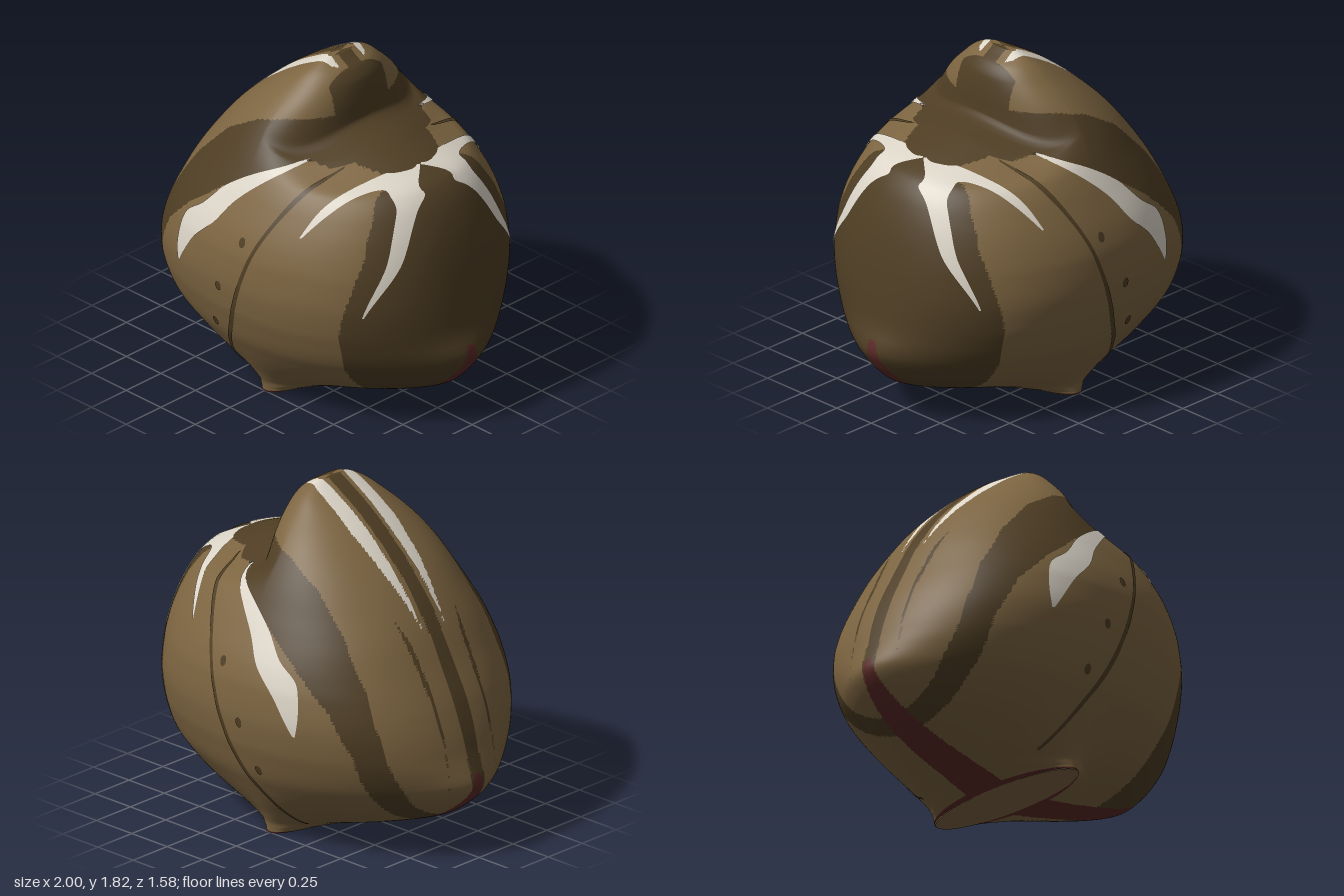
import * as THREE from 'three';

const mat = (name, color) => {
  const m = new THREE.MeshStandardMaterial({ color, side: THREE.DoubleSide });
  m.name = name;
  return m;
};

// Smooth monotone interpolation through [y, value] pairs
function table(pts) {
  const n = pts.length, d = [], m = [];
  for (let i = 0; i < n - 1; i++) d.push((pts[i + 1][1] - pts[i][1]) / (pts[i + 1][0] - pts[i][0]));
  for (let i = 0; i < n; i++) {
    const a = d[Math.max(i - 1, 0)], b = d[Math.min(i, n - 2)];
    m.push(a * b <= 0 ? 0 : 2 * a * b / (a + b));
  }
  return y => {
    let i = 0;
    while (i < n - 2 && y > pts[i + 1][0]) i++;
    const h = pts[i + 1][0] - pts[i][0], t = Math.min(1, Math.max(0, (y - pts[i][0]) / h));
    const t2 = t * t, t3 = t2 * t;
    return pts[i][1] * (2 * t3 - 3 * t2 + 1) + h * m[i] * (t3 - 2 * t2 + t)
      + pts[i + 1][1] * (3 * t2 - 2 * t3) + h * m[i + 1] * (t3 - t2);
  };
}

// Horizontal sections: left and right limits, centre, half depth and roundness by height
const TOP = 1.82;
const xMin = table([[0, -.13], [.02, -.22], [.06, -.4], [.11, -.6], [.19, -.79], [.26, -.885], [.33, -.935], [.42, -.957],
  [.5, -.96], [.6, -.945], [.8, -.88], [1, -.78], [1.2, -.67], [1.4, -.52], [1.6, -.31], [1.7, -.18], [1.78, -.05], [TOP, .02]]);
const xMax = table([[0, .15], [.02, .25], [.05, .41], [.1, .61], [.16, .79], [.23, .885], [.3, .93], [.4, .955], [.48, .96],
  [.6, .955], [.8, .935], [1, .9], [1.2, .835], [1.315, .755], [1.385, .6], [1.42, .5], [1.455, .38], [1.47, .28],
  [1.5, .23], [1.6, .222], [1.7, .205], [1.76, .17], [1.8, .11], [TOP, .08]]);
const xMid = table([[0, 0], [1.2, 0], [1.5, -.02], [1.7, .01], [TOP, .05]]);
const depth = table([[0, .5], [.05, .508], [.1, .53], [.2, .59], [.3, .65], [.4, .705], [.5, .74], [.6, .768], [.76, .785],
  [.9, .775], [1, .75], [1.2, .66], [1.3, .605], [1.4, .545], [1.5, .475], [1.6, .39], [1.7, .285], [1.76, .215], [1.8, .145], [TOP, .09]]);
const power = table([[0, 2], [.02, 1.6], [.06, 1.35], [.12, 1.42], [.25, 1.7], [.5, 2.07], [.8, 2.25], [1.1, 2.23], [1.3, 2.13], [1.5, 2.12], [TOP, 2]]);
// small lip at both pointed ends
const lip = y => .043 * Math.exp(-(((y - .4) / .1) ** 2));
// the crease under the upper lobe sinks towards the sides
const droop = (y, z, c) => c <= 0 ? 0 : .6 * z * z * c * Math.exp(-(((y - 1.47) / .12) ** 2));

// Front surface point over (x, y)
function front(x, y) {
  let z = 0, level = y;
  for (let i = 0; i < 4; i++) {
    const c = xMid(level), a = x < c ? c - xMin(level) : xMax(level) - c, p = power(level);
    const k = Math.min(1, Math.pow(Math.abs(x - c) / a, p));
    z = depth(level) * Math.pow(1 - k, 1 / p);
    level = y + droop(level, z, Math.sign(x - c) * Math.sqrt(k));
  }
  return new THREE.Vector3(x, y, z);
}

function inside(poly, x, y) {
  let hit = false;
  for (let i = 0, j = poly.length - 1; i < poly.length; j = i++) {
    const [ax, ay] = poly[i], [bx, by] = poly[j];
    if ((ay > y) !== (by > y) && x < (bx - ax) * (y - ay) / (by - ay) + ax) hit = !hit;
  }
  return hit;
}

// Dark regions over (x, y)
const darkAreas = [
  // sweeping side band and neck
  [[.3, 1.57], [.2, 1.57], [.05, 1.57], [-.1, 1.53], [-.3, 1.41], [-.5, 1.2], [-.66, .96], [-.77, .7], [-.82, .42], [-.8, .1],
    [-.69, .05], [-.69, .35], [-.66, .63], [-.55, .85], [-.37, 1.03], [-.15, 1.2], [.05, 1.32], [.22, 1.4], [.35, 1.38],
    [.41, 1.4], [.58, 1.37], [.75, 1.36], [.6, 1.5]],
  // right end
  [[.53, 0], [.57, .2], [.615, .45], [.645, .65], [.69, .85], [.71, 1.03], [.68, 1.22], [.63, 1.33], [.6, 1.37], [.75, 1.4], [1.1, 1.3], [1.1, 0]],
];
// Regions seen from above, over (x, |z|)
const crownStripe = [[-.68, .08], [-.3, .07], [0, .075], [.13, .09], [.1, .12], [0, .15], [-.25, .165], [-.45, .14]];
const backLine = [[-.96, .17], [-.8, .19], [-.6, .215], [-.7, .175], [-.85, .16]];

function colourAt(x, y, z) {
  const w = Math.abs(z);
  if (y < .008 || (y < .47 && w < .02 + .11 * (1 - y / .47) && Math.abs(x) > .1)) return 3;
  if (y > 1.05 && inside(crownStripe, x, w)) return 2;
  if (y > 1.5 && x > .15 && w < .19) return 1; // face of the upper lobe
  if (w < .045 || (x < -.5 && y > .4 && inside(backLine, x, w))) return 1;
  return darkAreas.some(a => inside(a, x, y)) ? 1 : 0;
}

// Main skin, lofted from the sections and sorted into colour groups
function bodyGeometry() {
  const R = 210, S = 288, pos = [], lists = [[], [], [], []];
  for (let i = 0; i <= R; i++) {
    const y = TOP * (1 - Math.cos(Math.PI * i / R)) / 2;
    const c = xMid(y), e = 2 / power(y);
    for (let j = 0; j < S; j++) {
      const t = 2 * Math.PI * j / S, cs = Math.cos(t), sn = Math.sin(t);
      const a = (cs < 0 ? c - xMin(y) : xMax(y) - c) + lip(y) * cs ** 16;
      const z = depth(y) * Math.sign(sn) * Math.abs(sn) ** e;
      pos.push(c + a * Math.sign(cs) * Math.abs(cs) ** e, y - droop(y, z, cs), z);
    }
  }
  const add = (a, b, c) => {
    const mid = k => (pos[a * 3 + k] + pos[b * 3 + k] + pos[c * 3 + k]) / 3;
    lists[colourAt(mid(0), mid(1), mid(2))].push(a, b, c);
  };
  for (let i = 0; i < R; i++) for (let j = 0; j < S; j++) {
    const a = i * S + j, b = i * S + (j + 1) % S;
    add(a, a + S, b);
    add(b, a + S, b + S);
  }
  // crown cap
  const top = pos.length / 3;
  pos.push(xMid(TOP), TOP, 0);
  for (let j = 0; j < S; j++) add(R * S + j, top, R * S + (j + 1) % S);

  const g = new THREE.BufferGeometry();
  g.setAttribute('position', new THREE.Float32BufferAttribute(pos, 3));
  g.setIndex(lists.flat());
  let start = 0;
  lists.forEach((l, k) => { g.addGroup(start, l.length, k); start += l.length; });
  g.computeVertexNormals();
  return g;
}

// Thin marking draped on the skin between two edge curves in (x, y)
function drape(edgeA, edgeB, side, along = 56, across = 6) {
  const curve = e => new THREE.SplineCurve(e.map(p => new THREE.Vector2(...p)));
  const A = curve(edgeA), B = curve(edgeB), g = new THREE.PlaneGeometry(1, 1, along, across);
  const uv = g.attributes.uv, h = .004;
  for (let i = 0; i < uv.count; i++) {
    const q = A.getPoint(uv.getX(i)).lerp(B.getPoint(uv.getX(i)), uv.getY(i));
    const p = front(q.x, q.y);
    const du = front(q.x + h, q.y).sub(front(q.x - h, q.y)), dv = front(q.x, q.y + h).sub(front(q.x, q.y - h));
    p.addScaledVector(du.cross(dv).normalize(), .005);
    g.attributes.position.setXYZ(i, p.x, p.y, p.z * side);
  }
  if (side < 0) g.index.array.reverse();
  g.computeVertexNormals();
  return g;
}

export function createModel() {
  const tan = mat('tan', 0x7d6541), dark = mat('dark brown', 0x4f3e24);
  const cream = mat('cream', 0xdcd5c8), red = mat('dark red', 0x5c2a27);
  const model = new THREE.Group();
  const add = (name, geo, m) => {
    const mesh = new THREE.Mesh(geo, m);
    mesh.name = name;
    model.add(mesh);
    return mesh;
  };
  add('body', bodyGeometry(), [tan, dark, cream, red]);

  // flat oval foot
  const oval = new THREE.Shape().absellipse(.01, 0, .14, .5, 0, Math.PI * 2);
  add('sole', new THREE.ShapeGeometry(oval, 48), tan).rotation.x = Math.PI / 2;

  // rib centre line, widened into a tapering strip
  const rib = [[-.185, .08], [-.1, .28], [0, .49], [.08, .71], [.17, .97], [.25, 1.15], [.33, 1.3], [.39, 1.385]];
  const ribWidth = [.008, .011, .014, .012, .01, .011, .014, .004];
  const shift = s => rib.map(([x, y], i) => [x + s * ribWidth[i], y - s * .003]);

  for (const side of [1, -1]) {
    const n = side > 0 ? 'front' : 'back';
    add(n + 'SideStripe', drape(
      [[-.395, .71], [-.405, .83], [-.37, .98], [-.25, 1.08], [-.13, 1.21], [.04, 1.325], [.23, 1.41]],
      [[-.38, .71], [-.325, .8], [-.25, .91], [-.13, 1.03], [-.04, 1.16], [.08, 1.28], [.23, 1.4]], side), cream);
    add(n + 'Horseshoe', drape(
      [[.4, 1.11], [.45, 1.25], [.52, 1.34], [.605, 1.376], [.742, 1.316], [.788, 1.24], [.825, 1.07], [.818, .93], [.745, .73]],
      [[.41, 1.11], [.49, 1.23], [.56, 1.31], [.64, 1.33], [.72, 1.275], [.757, 1.19], [.785, 1.05], [.782, .93], [.738, .73]], side), cream);
    add(n + 'Rib', drape(shift(-1), shift(1), side, 56, 2), dark);
    for (const [x, y] of [[.09, 1], [-.05, .71], [-.13, .45]]) {
      const arc = s => [0, 1, 2, 3, 4].map(k => [x + s * .02 * Math.sin(k * Math.PI / 4), y - .028 * Math.cos(k * Math.PI / 4)]);
      add(n + 'Spot', drape(arc(-1), arc(1), side, 10, 2), dark);
    }
  }
  return model;
}
